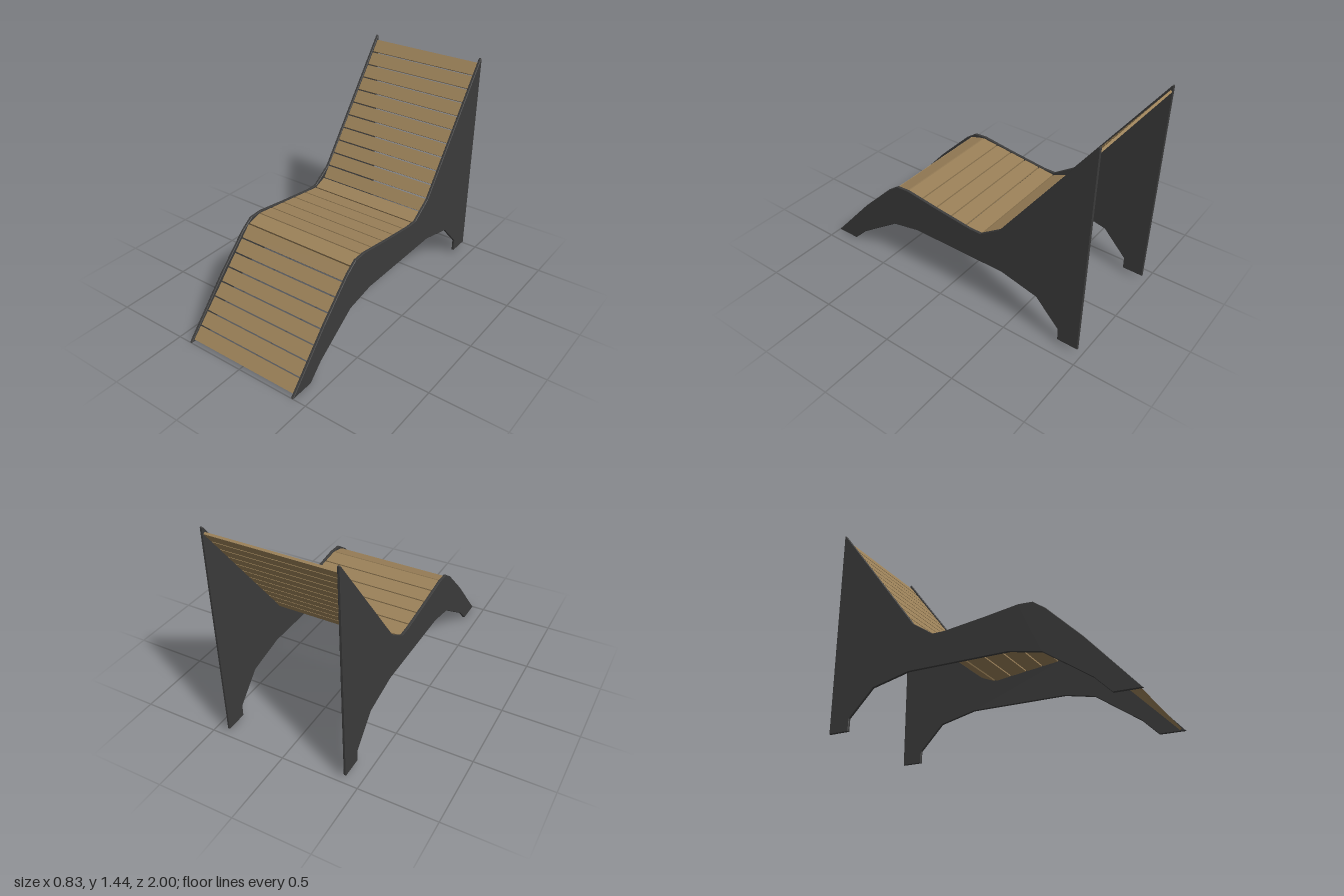
import * as THREE from 'three';

const frameMaterial = new THREE.MeshStandardMaterial({ color: 0x3c3c3c });
const slatMaterial = new THREE.MeshStandardMaterial({ color: 0x9a8058 });

// Side panel outline as [z, y]
const OUTLINE = [
  [1, 0], [0.7, 0.34], [0.48, 0.56], [0.4, 0.617], [0.31, 0.622], [0.09, 0.59],
  [-0.18, 0.556], [-0.26, 0.556], [-0.4, 0.65], [-0.99, 1.438], [-0.998, 1.436],
  [-0.97, 0.03], [-0.83, 0.03], [-0.83, 0.11], [-0.67, 0.28],
  [-0.42, 0.34], [0.25, 0.34], [0.45, 0.3], [0.74, 0.1], [0.84, 0],
];

// Runs of slats: start and end of the upper surface as [z, y], and slat count
const RUNS = [
  { name: 'backrestSlat', from: [-0.985, 1.41], to: [-0.35, 0.575], count: 11 },
  { name: 'seatRearSlat', from: [-0.35, 0.578], to: [-0.255, 0.54], count: 1 },
  { name: 'seatSlat', from: [-0.255, 0.54], to: [0.325, 0.612], count: 5 },
  { name: 'kneeSlat', from: [0.325, 0.612], to: [0.43, 0.585], count: 1 },
  { name: 'legSlat', from: [0.43, 0.585], to: [0.98, 0.012], count: 8 },
];

const SLAT_WIDTH = 0.8;
const SLAT_THICKNESS = 0.014;
const SLAT_GAP = 0.009;
const PANEL_THICKNESS = 0.018;

function makePanelGeometry() {
  const shape = new THREE.Shape(OUTLINE.map(([z, y]) => new THREE.Vector2(z, y)));
  const geometry = new THREE.ExtrudeGeometry(shape, {
    depth: PANEL_THICKNESS - 0.006,
    bevelThickness: 0.003,
    bevelSize: 0.003,
    bevelOffset: -0.003,
    bevelSegments: 1,
  });
  geometry.translate(0, 0, -(PANEL_THICKNESS - 0.006) / 2);
  return geometry.rotateY(-Math.PI / 2);
}

// Evenly spaced boards whose upper faces lie on the line between two points
function addSlats(group, { name, from, to, count }) {
  const dz = to[0] - from[0];
  const dy = to[1] - from[1];
  const length = Math.hypot(dz, dy);
  const geometry = new THREE.BoxGeometry(SLAT_WIDTH, SLAT_THICKNESS, length / count - SLAT_GAP);
  for (let i = 0; i < count; i++) {
    const t = (i + 0.5) / count;
    const slat = new THREE.Mesh(geometry, slatMaterial);
    slat.name = `${name}${i + 1}`;
    slat.position.set(
      0,
      from[1] + dy * t - (dz / length) * SLAT_THICKNESS / 2,
      from[0] + dz * t + (dy / length) * SLAT_THICKNESS / 2,
    );
    slat.rotation.x = -Math.atan2(dy, dz);
    group.add(slat);
  }
}

export function createModel() {
  const model = new THREE.Group();
  model.name = 'loungeChair';

  // Mirrored side panels
  const panelGeometry = makePanelGeometry();
  for (const [name, side] of [['leftPanel', 1], ['rightPanel', -1]]) {
    const panel = new THREE.Mesh(panelGeometry, frameMaterial);
    panel.name = name;
    panel.position.x = side * 0.404;
    model.add(panel);
  }

  // Wooden slats
  const slats = new THREE.Group();
  slats.name = 'slats';
  RUNS.forEach((run) => addSlats(slats, run));
  model.add(slats);

  return model;
}
